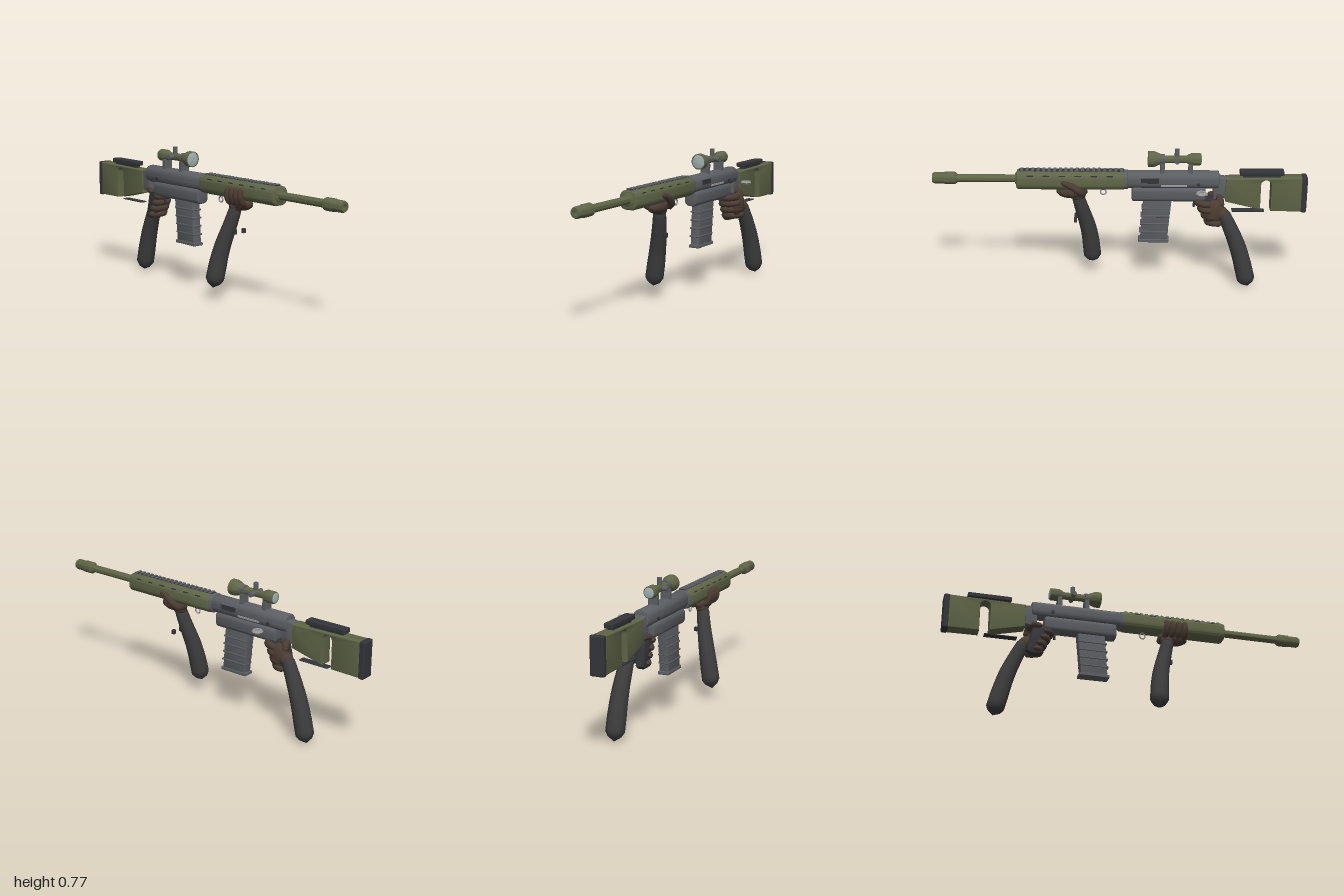
import * as THREE from 'three';
import { toCreasedNormals, mergeVertices } from 'three/addons/utils/BufferGeometryUtils.js';
import { RoundedBoxGeometry } from 'three/addons/geometries/RoundedBoxGeometry.js';

const CX = -0.015; // the bore line sits slightly off centre
const paint = (color) => new THREE.MeshStandardMaterial({ color, side: THREE.DoubleSide });
const olive = paint(0x5f6547), metal = paint(0x5c5f63), dark = paint(0x34353a);
const sleeve = paint(0x3d3d3d), glove = paint(0x4b3d33), glass = paint(0xa3b4b4), steel = paint(0x999999);

// Turned part along z: rows of [radius, z], z rising
const turned = (rows, x, y, sides = 24) => toCreasedNormals(
  new THREE.LatheGeometry(rows.map(([r, z]) => new THREE.Vector2(r, z)), sides).rotateX(Math.PI / 2), 0.6).translate(x, y, 0);

// Side outline drawn in (z, y), given a width across x
function slab(shape, width, bevel) {
  const g = new THREE.ExtrudeGeometry(shape, {
    depth: width - 2 * bevel, bevelSize: bevel, bevelThickness: bevel, bevelOffset: -bevel, bevelSegments: 2, curveSegments: 10 });
  return toCreasedNormals(g.translate(0, 0, bevel - width / 2).rotateY(-Math.PI / 2).translate(CX, 0, 0), 0.5);
}

// Rounded rectangle section running from z0 to z1
function bar(w, h, r, y, z0, z1, bevel) {
  const s = new THREE.Shape(), a = w / 2 - r, b = h / 2 - r;
  s.absarc(a, b, r, 0, Math.PI / 2);
  s.absarc(-a, b, r, Math.PI / 2, Math.PI);
  s.absarc(-a, -b, r, Math.PI, Math.PI * 1.5);
  s.absarc(a, -b, r, Math.PI * 1.5, Math.PI * 2);
  const g = new THREE.ExtrudeGeometry(s, { depth: z1 - z0 - 2 * bevel, bevelSize: bevel, bevelThickness: bevel,
    bevelOffset: -bevel, bevelSegments: 2, curveSegments: 6 });
  return toCreasedNormals(g.translate(CX, y, z0 + bevel), 0.6);
}

// Tube whose radius changes evenly through the given list, closing at both tips
function limb(points, radii, sides = 10) {
  const curve = new THREE.CatmullRomCurve3(points.map((p) => new THREE.Vector3(...p)));
  const steps = 20, g = new THREE.TubeGeometry(curve, steps, 1, sides), pos = g.attributes.position;
  const v = new THREE.Vector3(), c = new THREE.Vector3();
  for (let i = 0; i < pos.count; i++) {
    const t = Math.floor(i / (sides + 1)) / steps, k = t * (radii.length - 1), j = Math.min(Math.floor(k), radii.length - 2);
    const tip = Math.sqrt(Math.min(1, Math.min(t, 1 - t) * 10));
    const r = THREE.MathUtils.lerp(radii[j], radii[j + 1], k - j) * Math.max(tip, 0.02);
    curve.getPointAt(t, c);
    v.fromBufferAttribute(pos, i).sub(c).multiplyScalar(r).add(c);
    pos.setXYZ(i, v.x, v.y, v.z);
  }
  g.deleteAttribute('uv');
  g.deleteAttribute('normal');
  const m = mergeVertices(g, 1e-5);
  m.computeVertexNormals();
  return m;
}

const box = (w, h, d, x, y, z, r = 0.004) => new RoundedBoxGeometry(w, h, d, 2, r).translate(x, y, z);
const ball = (w, h, d, x, y, z) => new THREE.SphereGeometry(0.5, 12, 9).scale(w, h, d).translate(x, y, z);
const poly = (pts) => new THREE.Shape(pts.map((p) => new THREE.Vector2(...p)));

export function createModel() {
  const model = new THREE.Group();
  const add = (name, geo, mat) => {
    const m = new THREE.Mesh(geo, mat);
    m.name = name;
    model.add(m);
    return m;
  };

  // Barrel and hollow muzzle
  add('barrel', turned([[0, 0.5], [0.021, 0.5], [0.021, 0.88]], CX, 0.6), olive);
  add('muzzle', turned([[0, 0.868], [0.024, 0.868], [0.033, 0.88], [0.033, 0.935], [0.03, 0.94], [0.03, 0.99],
    [0.025, 1], [0.013, 1], [0.013, 0.96], [0, 0.96]], CX, 0.6), olive);

  // Handguard with toothed top rail and side slots
  add('handguard', bar(0.106, 0.1, 0.036, 0.597, -0.03, 0.55, 0.012), olive);
  add('handguardCollar', turned([[0, 0.54], [0.034, 0.54], [0.034, 0.553], [0.028, 0.557], [0, 0.557]], CX, 0.6), olive);
  add('rail', box(0.034, 0.012, 0.56, CX, 0.646, 0.255, 0.002), dark);
  for (let i = 0; i < 19; i++) add('railTooth', box(0.042, 0.008, 0.016, CX, 0.651, -0.01 + i * 0.0295, 0.001), metal);
  for (const s of [-1, 1])
    for (let i = 0; i < 6; i++) add('handguardSlot', box(0.006, 0.008, 0.035, CX + s * 0.046, 0.629, 0.05 + i * 0.085, 0.002), dark);

  // Receiver
  add('receiver', bar(0.088, 0.094, 0.038, 0.6, -0.53, -0.02, 0.008), metal);
  add('receiverRing', bar(0.098, 0.1, 0.038, 0.598, -0.045, -0.01, 0.004), metal);
  add('lowerReceiver', bar(0.08, 0.09, 0.03, 0.524, -0.46, -0.065, 0.012), metal);
  add('receiverTail', slab(poly([[-0.5, 0.625], [-0.57, 0.612], [-0.57, 0.505], [-0.5, 0.495]]), 0.062, 0.006), metal);
  add('ejectionFrame', box(0.008, 0.036, 0.11, 0.027, 0.607, -0.163, 0.003), metal);
  add('ejectionPort', box(0.008, 0.026, 0.095, 0.029, 0.607, -0.163, 0.002), dark);
  add('boltSlot', box(0.006, 0.012, 0.14, 0.027, 0.578, -0.29, 0.002), steel);
  add('receiverPin', new THREE.CylinderGeometry(0.009, 0.009, 0.096, 12).rotateZ(Math.PI / 2).translate(CX, 0.585, -0.42), dark);

  // Magazine leaning forward, with raised bands and a floor plate
  add('magazine', slab(poly([[-0.28, 0.5], [-0.128, 0.5], [-0.112, 0.255], [-0.256, 0.255]]), 0.054, 0.005), metal);
  for (let i = 0; i < 4; i++) {
    const y = 0.44 - i * 0.045;
    add('magazineBand', box(0.06, 0.01, 0.156, CX, y, -0.197 + (0.46 - y) * 0.08, 0.003), metal);
  }
  add('magazineFloor', box(0.062, 0.018, 0.164, CX, 0.251, -0.184, 0.004), metal);

  // Grip and trigger
  add('pistolGrip', slab(poly([[-0.43, 0.5], [-0.52, 0.5], [-0.55, 0.36], [-0.53, 0.343], [-0.475, 0.343], [-0.455, 0.4]]), 0.048, 0.01), dark);
  add('trigger', box(0.012, 0.045, 0.012, CX, 0.465, -0.4, 0.003), dark);

  // Stock with a tall open notch
  const stock = poly([[-0.565, 0.615], [-0.972, 0.622], [-0.972, 0.43], [-0.807, 0.432], [-0.807, 0.58]]);
  stock.absarc(-0.78, 0.58, 0.027, Math.PI, 0, true);
  stock.lineTo(-0.753, 0.44);
  stock.lineTo(-0.565, 0.485);
  add('stock', slab(stock, 0.074, 0.007), olive);
  add('buttPad', box(0.076, 0.198, 0.032, CX, 0.525, -0.984, 0.008), dark);
  add('cheekPad', box(0.054, 0.026, 0.235, CX, 0.642, -0.757, 0.006), dark);
  add('cheekPadBase', box(0.03, 0.02, 0.2, CX, 0.625, -0.757, 0.002), dark);
  add('stockStrip', box(0.04, 0.006, 0.175, CX, 0.424, -0.69, 0.002), dark);

  // Scope
  const SY = 0.714;
  add('scopeBody', turned([[0, -0.432], [0.03, -0.432], [0.033, -0.425], [0.033, -0.38], [0.02, -0.355], [0.02, -0.235],
    [0.04, -0.19], [0.043, -0.18], [0.043, -0.152], [0.038, -0.15], [0.038, -0.156], [0, -0.156]], CX, SY), olive);
  add('frontLens', turned([[0.038, -0.154], [0.02, -0.15], [0, -0.149]], CX, SY), glass);
  add('rearLens', turned([[0, -0.435], [0.018, -0.435], [0.027, -0.432]], CX, SY), glass);
  add('topTurret', new THREE.CylinderGeometry(0.013, 0.013, 0.05, 14).translate(CX, 0.745, -0.305), metal);
  add('sideTurrets', new THREE.CylinderGeometry(0.013, 0.013, 0.094, 14).rotateZ(Math.PI / 2).translate(CX, SY, -0.305), metal);
  for (const z of [-0.228, -0.378]) {
    add('scopeMount', box(0.052, 0.06, 0.024, CX, 0.667, z, 0.003), metal);
    add('scopeRing', turned([[0.02, z - 0.012], [0.027, z - 0.012], [0.027, z + 0.012], [0.02, z + 0.012]], CX, SY), metal);
  }

  // Loose fittings: sling loop, hanging studs, floating ring
  add('slingLoop', new THREE.TorusGeometry(0.015, 0.004, 8, 18).rotateY(Math.PI / 2).translate(CX, 0.525, 0.087), steel);
  add('slingPost', box(0.012, 0.02, 0.012, CX, 0.546, 0.087, 0.002), metal);
  for (const x of [-0.045, 0.015]) add('stud', box(0.019, 0.025, 0.016, x, 0.373, 0.237, 0.002), dark);
  const ring = [[0.013, -0.008], [0.025, -0.008], [0.03, 0], [0.025, 0.008], [0.013, 0.008], [0.013, -0.008]];
  add('looseRing', toCreasedNormals(new THREE.LatheGeometry(ring.map((p) => new THREE.Vector2(...p)), 18), 0.5)
    .translate(0.132, 0.576, -0.432), steel);

  // Front arm and the hand cradling the handguard
  add('frontArm', limb([[-0.025, 0.53, 0.235], [-0.045, 0.42, 0.205], [-0.08, 0.27, 0.168], [-0.12, 0.07, 0.148]],
    [0.032, 0.038, 0.044, 0.049, 0.05]), sleeve);
  add('frontPalm', ball(0.085, 0.075, 0.17, -0.02, 0.525, 0.255), glove);
  add('frontWrist', ball(0.07, 0.07, 0.085, -0.027, 0.505, 0.225), glove);
  for (let i = 0; i < 4; i++) {
    const z = 0.205 + i * 0.034;
    add('frontFinger', limb([[-0.02, 0.525, z], [-0.06, 0.535, z + 0.004], [-0.076, 0.57, z + 0.006], [-0.066, 0.615, z + 0.006]],
      [0.019, 0.018, 0.017, 0.014], 8), glove);
  }
  add('frontThumb', limb([[-0.005, 0.515, 0.19], [0.032, 0.54, 0.21], [0.041, 0.57, 0.245], [0.038, 0.6, 0.31]],
    [0.022, 0.021, 0.019, 0.014], 8), glove);

  // Rear arm and the hand wrapped round the grip
  add('rearArm', limb([[0.035, 0.46, -0.54], [0.042, 0.38, -0.578], [0.05, 0.23, -0.64], [0.055, 0.005, -0.7]],
    [0.032, 0.04, 0.046, 0.05, 0.05]), sleeve);
  add('rearPalm', ball(0.06, 0.14, 0.12, 0.042, 0.435, -0.505), glove);
  add('rearWrist', ball(0.07, 0.08, 0.08, 0.038, 0.425, -0.545), glove);
  for (let i = 0; i < 4; i++) {
    const y = 0.483 - i * 0.036, z = -0.415 - i * 0.018;
    add('rearFinger', limb([[0.045, y - 0.005, z - 0.08], [0.053, y, z - 0.04], [0.025, y - 0.003, z - 0.005], [-0.03, y - 0.006, z - 0.012], [-0.047, y - 0.006, z - 0.05]],
      [0.019, 0.02, 0.019, 0.018, 0.015], 8), glove);
  }
  add('rearThumb', limb([[0.045, 0.46, -0.54], [0.025, 0.505, -0.535], [-0.03, 0.51, -0.525], [-0.052, 0.5, -0.47]],
    [0.022, 0.02, 0.018, 0.014], 8), glove);

  return model;
}
